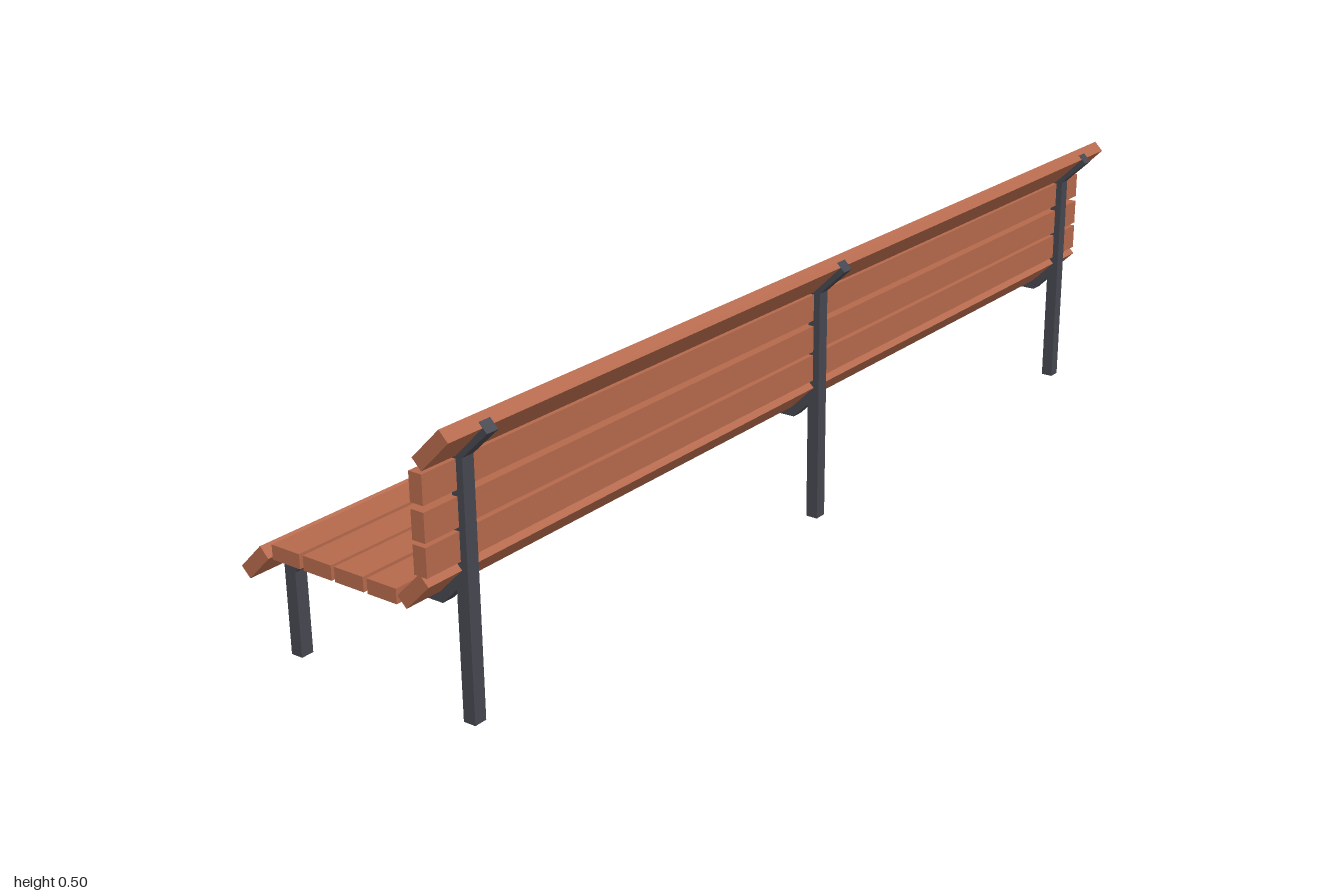
import * as THREE from 'three';

export function createModel() {
  const group = new THREE.Group();
  const wood = new THREE.MeshStandardMaterial({ color: 0xb5694c });
  wood.name = 'reddish wood';
  const metal = new THREE.MeshStandardMaterial({ color: 0x464650 });
  metal.name = 'dark metal';

  // Full-length plank centred at (z, y); tilt turns it about the x axis
  function slat(name, z, y, width, thickness, tilt = 0) {
    const mesh = new THREE.Mesh(new THREE.BoxGeometry(2, thickness, width), wood);
    mesh.name = name;
    mesh.position.set(0, y, z);
    mesh.rotation.x = tilt;
    group.add(mesh);
  }

  // Extrude a [z, y] side outline across x
  const barWidth = 0.024;
  function sideBar(points) {
    const shape = new THREE.Shape(points.map(([z, y]) => new THREE.Vector2(z, y)));
    const geo = new THREE.ExtrudeGeometry(shape, { depth: barWidth, bevelEnabled: false });
    geo.translate(0, 0, -barWidth / 2);
    geo.rotateY(-Math.PI / 2);
    return geo;
  }

  // Seat: four flat slats and a sloping front edge
  for (const z of [0.073, 0.006, -0.06, -0.127]) slat('seatSlat', z, 0.22, 0.059, 0.025);
  slat('frontEdgeSlat', -0.1975, 0.1915, 0.064, 0.024, -Math.PI / 4);

  // Backrest: sloping bottom slat, three upright slats, leaning top slat
  slat('lowerBackSlat', 0.1365, 0.2375, 0.066, 0.024, -Math.PI / 4);
  for (const y of [0.29, 0.3445, 0.403]) slat('backSlat', 0.154, y, 0.025, 0.048);
  slat('topSlat', 0.1855, 0.4675, 0.077, 0.024, -Math.PI / 4);

  // Rear post with its bent top, and seat rail bending down into the front leg
  const postGeo = sideBar([
    [0.156, 0], [0.179, 0], [0.179, 0.431], [0.229, 0.479], [0.214, 0.494], [0.156, 0.44],
  ]);
  const railGeo = sideBar([
    [-0.212, 0], [-0.189, 0], [-0.189, 0.149], [-0.15, 0.188], [0.126, 0.188],
    [0.158, 0.22], [0.158, 0.252], [0.115, 0.209], [-0.16, 0.209], [-0.212, 0.157],
  ]);
  for (const x of [-0.918, 0, 0.918]) {
    const frame = new THREE.Group();
    frame.name = 'supportFrame';
    const post = new THREE.Mesh(postGeo, metal);
    post.name = 'rearPost';
    const rail = new THREE.Mesh(railGeo, metal);
    rail.name = 'seatRailAndFrontLeg';
    frame.add(post, rail);
    frame.position.x = x;
    group.add(frame);
  }
  return group;
}
